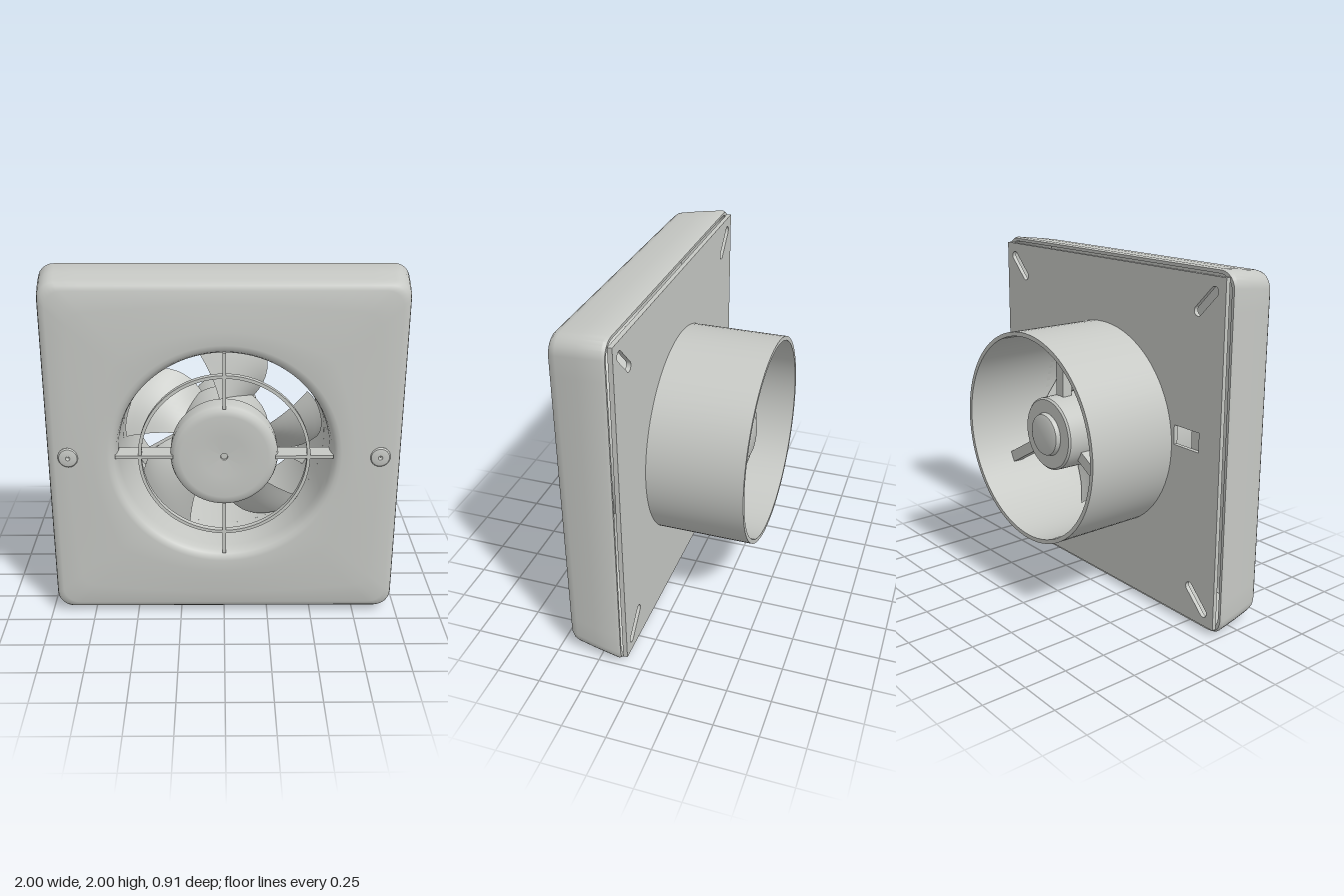
import * as THREE from 'three';
import { toCreasedNormals } from 'three/addons/utils/BufferGeometryUtils.js';

export function createModel() {
  const grey = new THREE.MeshStandardMaterial({ color: 0xc6c8c4, side: THREE.DoubleSide });
  grey.name = 'light grey plastic';
  const model = new THREE.Group();
  model.name = 'wallFan';
  const body = new THREE.Group(); // fan axis runs along z through this group's origin
  body.name = 'fanBody';
  body.position.y = 1;
  model.add(body);

  const add = (name, geometry, parent = body) => {
    const mesh = new THREE.Mesh(geometry, grey);
    mesh.name = name;
    parent.add(mesh);
    return mesh;
  };
  // Turned part about the z axis, profile given as [radius, z]
  const turned = (name, profile, segments = 64) => {
    const g = new THREE.LatheGeometry(profile.map(([r, z]) => new THREE.Vector2(r, z)), segments);
    g.rotateX(Math.PI / 2);
    return add(name, toCreasedNormals(g, 0.6));
  };
  const tubeProfile = (ri, ro, z0, z1) => [[ri, z0], [ro, z0], [ro, z1], [ri, z1], [ri, z0]];

  // Rounded-square loop; every loop has the same number of points
  const SIDE = 22, CORNER = 6;
  const squareLoop = (half, radius, z) => {
    const pts = [], c = half - radius;
    for (let q = 0; q < 4; q++) {
      const quarter = [];
      const limit = Math.atan2(c, half);
      for (let i = 0; i < SIDE; i++) {
        quarter.push([half, half * Math.tan(-limit + (2 * limit * i) / SIDE)]);
      }
      for (let i = 0; i < CORNER; i++) {
        const a = (i / CORNER) * Math.PI / 2;
        quarter.push([c + radius * Math.cos(a), c + radius * Math.sin(a)]);
      }
      const t = q * Math.PI / 2, co = Math.round(Math.cos(t)), si = Math.round(Math.sin(t));
      quarter.forEach(([x, y]) => pts.push(new THREE.Vector3(x * co - y * si, x * si + y * co, z)));
    }
    return pts;
  };
  const edge = squareLoop(0.925, 0.09, 0.436);
  const circleLoop = (r, z) => edge.map(p => {
    const a = Math.atan2(p.y, p.x);
    return new THREE.Vector3(r * Math.cos(a), r * Math.sin(a), z);
  });

  // Front cover: inner wall, lip, tapered sides, gently domed face, flared bore
  const loops = [
    squareLoop(0.945, 0.07, 0.41), squareLoop(0.975, 0.08, 0.12),
    squareLoop(0.993, 0.09, 0.118), squareLoop(1.0, 0.09, 0.135),
    squareLoop(0.985, 0.09, 0.27), squareLoop(0.97, 0.09, 0.385),
    squareLoop(0.963, 0.09, 0.41), squareLoop(0.95, 0.09, 0.427), edge,
  ];
  const rim = circleLoop(0.64, 0.456);
  for (const t of [0.25, 0.5, 0.75]) {
    loops.push(edge.map((p, i) => {
      const v = p.clone().lerp(rim[i], t);
      v.z = 0.436 + 0.02 * Math.sin(t * Math.PI / 2);
      return v;
    }));
  }
  loops.push(rim);
  for (const [r, z] of [[0.62, 0.452], [0.603, 0.44], [0.59, 0.415], [0.583, 0.37], [0.578, 0.115]]) {
    loops.push(circleLoop(r, z));
  }
  const n = edge.length, index = [];
  for (let s = 0; s < loops.length - 1; s++) {
    for (let i = 0; i < n; i++) {
      const a = s * n + i, b = s * n + (i + 1) % n;
      index.push(a, b, b + n, a, b + n, a + n);
    }
  }
  const coverGeo = new THREE.BufferGeometry().setFromPoints(loops.flat());
  coverGeo.setIndex(index);
  add('frontCover', toCreasedNormals(coverGeo, 0.7));

  // Back plate with duct opening, diagonal fixing slots and a cable opening
  const plate = new THREE.Shape();
  const P = 0.965;
  plate.moveTo(-P, -P).lineTo(P, -P).lineTo(P, P).lineTo(-P, P).closePath();
  plate.holes.push(new THREE.Path().absarc(0, 0, 0.578, 0, Math.PI * 2, true));
  for (const sx of [-1, 1]) for (const sy of [-1, 1]) {
    const a = Math.atan2(sy, sx), d = 0.08, r = 0.027;
    const cx = 0.83 * sx, cy = 0.83 * sy, dx = Math.cos(a) * d, dy = Math.sin(a) * d;
    const slot = new THREE.Path();
    slot.absarc(cx + dx, cy + dy, r, a - Math.PI / 2, a + Math.PI / 2, false);
    slot.absarc(cx - dx, cy - dy, r, a + Math.PI / 2, a + Math.PI * 1.5, false);
    slot.closePath();
    plate.holes.push(slot);
  }
  const cable = new THREE.Path();
  cable.moveTo(-0.81, 0.02).lineTo(-0.81, 0.13).lineTo(-0.62, 0.13).lineTo(-0.62, 0.02).closePath();
  plate.holes.push(cable);
  const plateGeo = new THREE.ExtrudeGeometry(plate, { depth: 0.025, bevelEnabled: false, curveSegments: 40 });
  add('backPlate', plateGeo).position.z = 0.09;
  add('cableClamp', new THREE.BoxGeometry(0.07, 0.13, 0.06)).position.set(-0.76, 0.075, 0.15);

  // Duct spigot
  turned('duct', tubeProfile(0.578, 0.602, -0.455, 0.115), 80);

  // Front grille: cap, ring and four deep fins
  turned('grilleCap', [
    [0.275, 0.32], [0.295, 0.32], [0.295, 0.405], [0.288, 0.428], [0.27, 0.443], [0.24, 0.448],
    [0.12, 0.442], [0.02, 0.436], [0.018, 0.425], [0, 0.425],
  ]);
  turned('grilleRing', tubeProfile(0.452, 0.47, 0.405, 0.44), 72);
  for (let i = 0; i < 4; i++) {
    const g = new THREE.BoxGeometry(0.315, 0.018, 0.12);
    g.translate(0.4375, 0, 0.385);
    g.rotateZ(i * Math.PI / 2);
    add('grilleFin', g);
  }

  // Cover screws with a small dimple
  for (const side of [-1, 1]) {
    turned('coverScrew', [
      [0.057, 0.43], [0.057, 0.445], [0.05, 0.454], [0.03, 0.459], [0.012, 0.459], [0, 0.45],
    ], 24).position.x = side * 0.85;
  }

  // Rotor hub and five pitched blades
  turned('rotorHub', [[0, 0.0], [0.24, 0.0], [0.26, 0.02], [0.26, 0.23], [0.24, 0.25], [0, 0.25]]);
  const lerp = THREE.MathUtils.lerp;
  for (let k = 0; k < 5; k++) {
    const g = new THREE.PlaneGeometry(1, 1, 12, 8);
    const pos = g.attributes.position;
    for (let i = 0; i < pos.count; i++) {
      const u = pos.getX(i) + 0.5, v = pos.getY(i) + 0.5;
      const low = lerp(-34, -16, v * v), high = lerp(13, 23, v);
      const a = THREE.MathUtils.degToRad(10 + 72 * k + lerp(low, high, u));
      const r = lerp(0.24, 0.565, v) - 0.015 * v * (2 * u - 1) ** 4;
      const z = 0.12 + (u - 0.5) * lerp(0.24, 0.2, v) + 0.035 * Math.sin(u * Math.PI);
      pos.setXYZ(i, r * Math.cos(a), r * Math.sin(a), z);
    }
    // Flip so the outward face looks to the front
    const idx = g.index.array;
    for (let i = 0; i < idx.length; i += 3) [idx[i], idx[i + 1]] = [idx[i + 1], idx[i]];
    g.computeVertexNormals();
    add('fanBlade', g);
  }

  // Motor housing, rear cap and three supporting struts
  turned('motorHousing', [[0, -0.31], [0.2, -0.31], [0.21, -0.3], [0.215, -0.02], [0, -0.02]], 48);
  turned('motorCap', [[0, -0.345], [0.1, -0.342], [0.118, -0.335], [0.125, -0.31], [0, -0.31]], 40);
  for (const degrees of [90, 210, 330]) {
    const g = new THREE.BoxGeometry(0.4, 0.065, 0.06);
    g.translate(0.385, 0, -0.19);
    g.rotateZ(THREE.MathUtils.degToRad(degrees));
    add('motorStrut', g);
  }
  return model;
}
